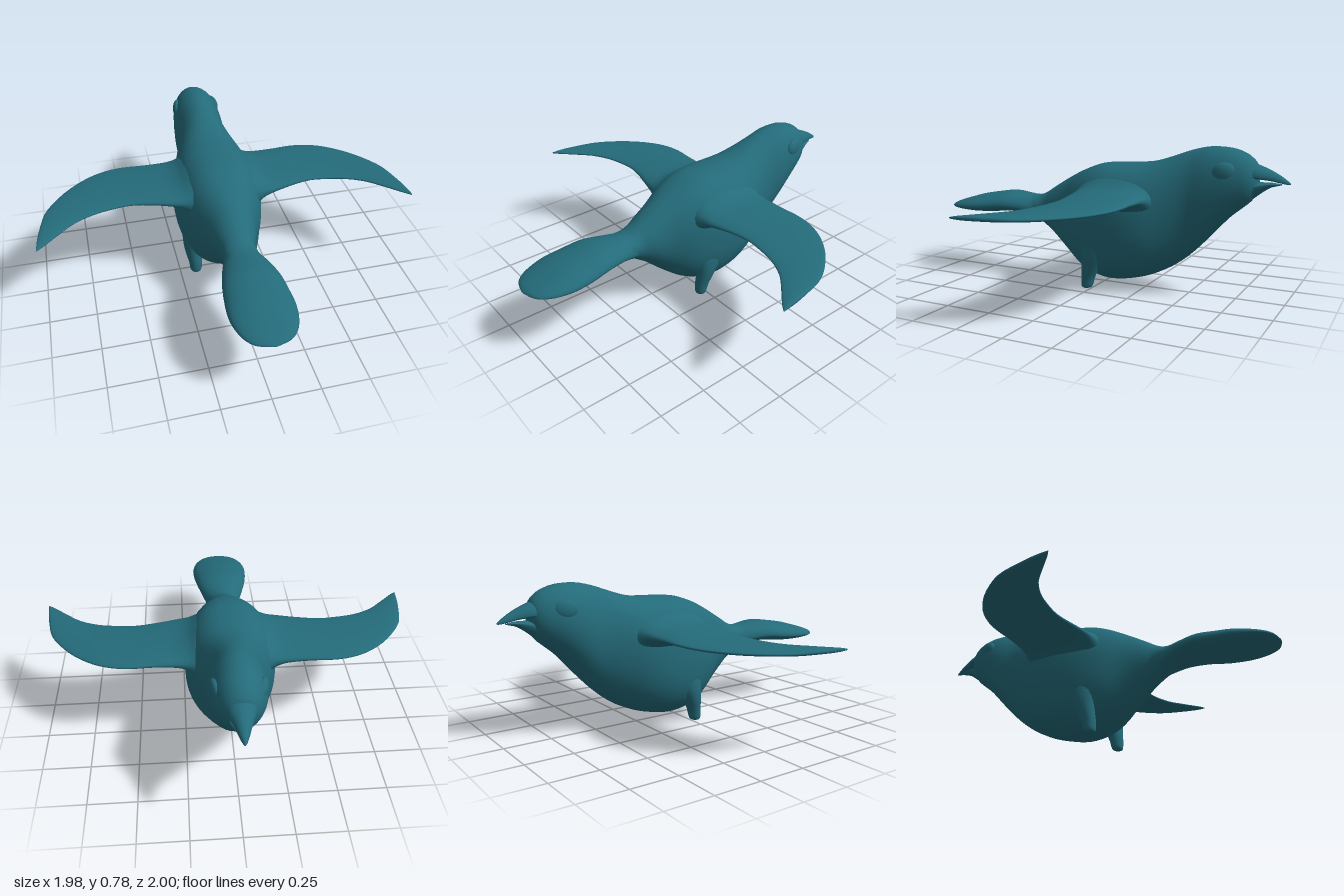
import * as THREE from 'three';

const plumage = new THREE.MeshStandardMaterial({ color: 0x246b7a });
plumage.name = 'teal plumage';

// Smooth interpolation between section rows
function sampleRows(rows, steps) {
  const out = [];
  const n = rows.length;
  for (let i = 0; i < n - 1; i++) {
    const p0 = rows[Math.max(i - 1, 0)], p1 = rows[i], p2 = rows[i + 1], p3 = rows[Math.min(i + 2, n - 1)];
    for (let s = 0; s < steps; s++) {
      const t = s / steps;
      out.push(p1.map((v, k) => {
        const m1 = (p2[k] - p0[k]) / 2, m2 = (p3[k] - v) / 2, d = p2[k] - v;
        return v + t * (m1 + t * (3 * d - 2 * m1 - m2 + t * (m1 + m2 - 2 * d)));
      }));
    }
  }
  out.push(rows[n - 1]);
  return out;
}

// Loft of rounded sections. Row: [along, centre, half width, top, bottom, widest height 0..1, roundness]
function loft(name, rows, place, sides = 32, steps = 3) {
  const rings = sampleRows(rows, steps);
  const pos = [], idx = [];
  const sp = (v, e) => Math.sign(v) * Math.pow(Math.abs(v), 2 / e);
  for (const [l, c, h, top, bot, f, e] of rings) {
    const mid = bot + (top - bot) * f;
    for (let j = 0; j < sides; j++) {
      const a = (j / sides) * Math.PI * 2;
      const s = sp(Math.sin(a), e);
      pos.push(...place(l, c + Math.max(h, 0.001) * sp(Math.cos(a), e), mid + s * (s > 0 ? top - mid : mid - bot)));
    }
  }
  const id = (i, j) => i * sides + (j % sides);
  for (let i = 0; i < rings.length - 1; i++)
    for (let j = 0; j < sides; j++)
      idx.push(id(i, j), id(i, j + 1), id(i + 1, j + 1), id(i, j), id(i + 1, j + 1), id(i + 1, j));
  // End caps
  const last = rings.length - 1;
  for (const [i, flip] of [[0, true], [last, false]]) {
    const r = rings[i], centre = pos.length / 3;
    pos.push(...place(r[0], r[1], r[4] + (r[3] - r[4]) * r[5]));
    for (let j = 0; j < sides; j++)
      idx.push(centre, flip ? id(i, j + 1) : id(i, j), flip ? id(i, j) : id(i, j + 1));
  }
  // Make all faces point outward, whichever way the loft runs
  const v = (k) => new THREE.Vector3(pos[k * 3], pos[k * 3 + 1], pos[k * 3 + 2]);
  let volume = 0;
  for (let k = 0; k < idx.length; k += 3) volume += v(idx[k]).dot(v(idx[k + 1]).cross(v(idx[k + 2])));
  if (volume < 0) idx.reverse();
  const g = new THREE.BufferGeometry();
  g.setAttribute('position', new THREE.Float32BufferAttribute(pos, 3));
  g.setIndex(idx);
  g.computeVertexNormals();
  const mesh = new THREE.Mesh(g, plumage);
  mesh.name = name;
  return mesh;
}

const alongZ = (l, a, b) => [a, b, l];

export function createModel() {
  const bird = new THREE.Group();
  bird.name = 'bird';

  // Body and head: [z, half width, top, bottom, roundness]
  const body = [
    [0.46, 0.09, 0.46, 0.345, 2], [0.4, 0.09, 0.465, 0.32, 2], [0.35, 0.092, 0.488, 0.285, 2],
    [0.3, 0.11, 0.52, 0.25, 2], [0.2, 0.145, 0.58, 0.16, 2.1], [0.1, 0.195, 0.63, 0.085, 2.3],
    [0, 0.225, 0.665, 0.045, 2.4], [-0.1, 0.238, 0.675, 0.035, 2.4], [-0.2, 0.238, 0.68, 0.05, 2.3],
    [-0.3, 0.218, 0.69, 0.08, 2.2], [-0.4, 0.18, 0.72, 0.13, 2.1], [-0.5, 0.15, 0.755, 0.205, 2],
    [-0.6, 0.146, 0.777, 0.305, 2], [-0.7, 0.132, 0.775, 0.415, 2], [-0.77, 0.11, 0.755, 0.475, 2],
    [-0.81, 0.088, 0.73, 0.51, 2], [-0.835, 0.06, 0.7, 0.55, 2], [-0.845, 0.02, 0.65, 0.6, 2],
  ].map(([z, w, t, b, e]) => [z, 0, w, t, b, 0.5, e]);
  bird.add(loft('body', body, alongZ, 40));

  // Paddle-shaped tail
  const tail = [
    [0.34, 0.08, 0.48, 0.3], [0.42, 0.095, 0.462, 0.33], [0.5, 0.12, 0.465, 0.355],
    [0.6, 0.146, 0.474, 0.358], [0.7, 0.16, 0.46, 0.346], [0.8, 0.165, 0.442, 0.344],
    [0.88, 0.15, 0.42, 0.348], [0.94, 0.122, 0.402, 0.354], [0.98, 0.08, 0.387, 0.36], [1, 0.015, 0.372, 0.366],
  ].map(([z, w, t, b]) => [z, 0, w, t, b, 0.38, 2]);
  bird.add(loft('tail', tail, alongZ));

  // Beak halves with a narrow open mouth
  const upper = [
    [-0.77, 0.075, 0.72, 0.615], [-0.84, 0.066, 0.697, 0.624], [-0.9, 0.043, 0.674, 0.62],
    [-0.95, 0.026, 0.648, 0.611], [-0.985, 0.012, 0.625, 0.605], [-1, 0.003, 0.612, 0.606],
  ].map(([z, w, t, b]) => [z, 0, w, t, b, 0.25, 2]);
  bird.add(loft('upperBeak', upper, alongZ, 24));
  const lower = [
    [-0.77, 0.07, 0.605, 0.48], [-0.84, 0.056, 0.608, 0.54], [-0.9, 0.035, 0.61, 0.583],
    [-0.94, 0.018, 0.607, 0.596], [-0.96, 0.004, 0.606, 0.602],
  ].map(([z, w, t, b]) => [z, 0, w, t, b, 0.75, 2]);
  bird.add(loft('lowerBeak', lower, alongZ, 24));

  // Wing sections: [x, leading z, trailing z, top, bottom]
  const wing = [
    [0.1, -0.36, 0.1, 0.645, 0.32], [0.17, -0.36, 0.09, 0.605, 0.37], [0.215, -0.345, 0.078, 0.575, 0.43],
    [0.28, -0.337, 0.065, 0.555, 0.468], [0.4, -0.337, 0.035, 0.546, 0.487], [0.5, -0.343, 0.02, 0.54, 0.495],
    [0.6, -0.33, 0.03, 0.536, 0.496], [0.7, -0.288, 0.052, 0.532, 0.495], [0.8, -0.212, 0.1, 0.528, 0.494],
    [0.88, -0.12, 0.17, 0.525, 0.494], [0.935, -0.03, 0.222, 0.522, 0.495], [0.96, 0.06, 0.245, 0.52, 0.496],
    [0.98, 0.165, 0.26, 0.517, 0.498], [0.99, 0.255, 0.268, 0.511, 0.503],
  ].map(([x, a, b, t, u]) => [x, (a + b) / 2, (b - a) / 2, t, u, 0.5, 2.2]);

  // Stubby leg sections: [y, centre x, half width x, front z, back z]
  const leg = [
    [0, 0.16, 0.018, 0.012, 0.05], [0.012, 0.16, 0.032, -0.003, 0.057], [0.06, 0.161, 0.037, -0.018, 0.058],
    [0.12, 0.167, 0.045, -0.045, 0.053], [0.19, 0.172, 0.049, -0.085, 0.052], [0.28, 0.172, 0.046, -0.13, 0.05],
  ].map(([y, c, w, f, b]) => [y, c, w, b, f, 0.5, 2]);

  for (const [label, s] of [['left', 1], ['right', -1]]) {
    bird.add(loft(label + 'Wing', wing, (l, a, b) => [s * l, b, a]));
    bird.add(loft(label + 'Leg', leg, (l, a, b) => [s * a, l, b], 20));
    // Low bulge around the eye
    const eye = new THREE.Mesh(new THREE.SphereGeometry(1, 20, 14), plumage);
    eye.name = label + 'EyeBulge';
    eye.scale.set(0.025, 0.05, 0.06);
    eye.position.set(s * 0.108, 0.66, -0.7);
    eye.rotation.y = s * 0.25;
    bird.add(eye);
  }
  return bird;
}
